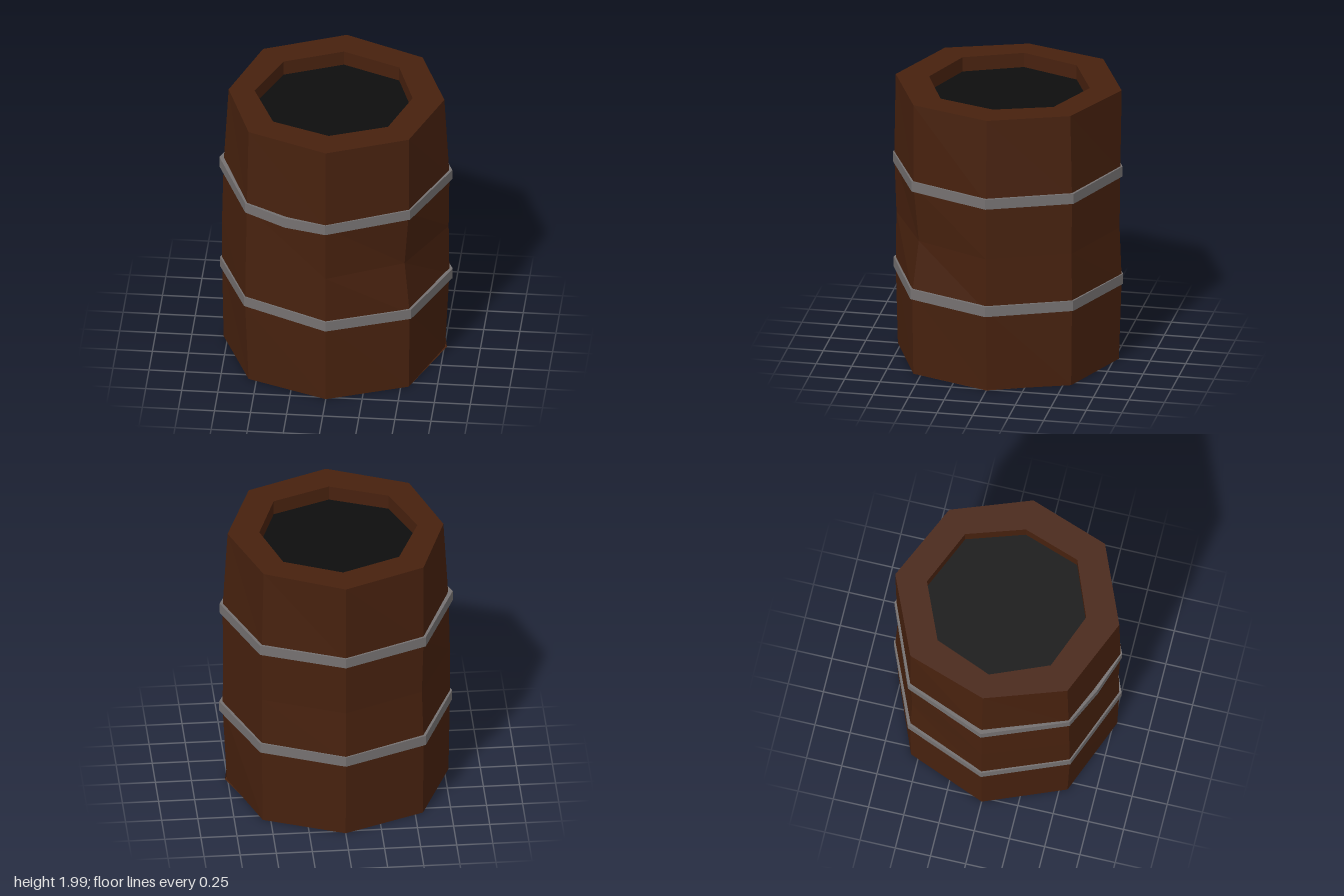
import * as THREE from 'three';

const wood = new THREE.MeshStandardMaterial({ color: 0x47210e, flatShading: true });
wood.name = 'dark wood';
const iron = new THREE.MeshStandardMaterial({ color: 0x757171, flatShading: true });
iron.name = 'iron';
const pitch = new THREE.MeshStandardMaterial({ color: 0x0e0e0e, flatShading: true });
pitch.name = 'black contents';

const SIDES = 8;

// Eight-sided ring: corner 0 is at +x, corner 2 at +z, corner 4 at -x, corner 6 at -z.
const ring = (y, radii) =>
  Array.from({ length: SIDES }, (_, k) => {
    const a = (k / SIDES) * Math.PI * 2;
    const r = Array.isArray(radii) ? radii[k] : radii;
    return [r * Math.cos(a), y, r * Math.sin(a)];
  });

// Joins successive rings with quads; rings going upward on the outside face outward.
function loft(rings, closed = false) {
  const pos = [];
  const count = closed ? rings.length : rings.length - 1;
  for (let i = 0; i < count; i++) {
    const lo = rings[i], hi = rings[(i + 1) % rings.length];
    for (let k = 0; k < lo.length; k++) {
      const n = (k + 1) % lo.length;
      pos.push(...lo[k], ...hi[k], ...hi[n], ...lo[k], ...hi[n], ...lo[n]);
    }
  }
  return toGeometry(pos);
}

// Fan that closes a ring, facing up or down.
function cap(points, up) {
  const pos = [];
  for (let k = 1; k < points.length - 1; k++) {
    const [b, c] = up ? [points[k + 1], points[k]] : [points[k], points[k + 1]];
    pos.push(...points[0], ...b, ...c);
  }
  return toGeometry(pos);
}

function toGeometry(pos) {
  const g = new THREE.BufferGeometry();
  g.setAttribute('position', new THREE.Float32BufferAttribute(pos, 3));
  g.computeVertexNormals();
  return g;
}

function part(name, geometry, material) {
  const mesh = new THREE.Mesh(geometry, material);
  mesh.name = name;
  return mesh;
}

// Iron band through points [corner position, radius, height of its middle].
function hoop(points) {
  const section = [[-0.05, -0.034], [0, -0.037], [0, 0.037], [-0.05, 0.034]];
  const rings = section.map(([dr, dy]) =>
    points.map(([k, r, y]) => {
      const a = (k / SIDES) * Math.PI * 2;
      return [(r + dr) * Math.cos(a), y + dy, (r + dr) * Math.sin(a)];
    }));
  return loft(rings, true);
}

export function createModel() {
  const barrel = new THREE.Group();
  barrel.name = 'barrel';

  // Wooden shell: bottom recess, uneven outside wall, rim and inside wall
  const topInner = [0.53, 0.56, 0.555, 0.565, 0.565, 0.57, 0.575, 0.565];
  const floor = ring(1.89, topInner);
  const underside = ring(0.11, 0.755);
  const shell = [
    underside,
    ring(0.005, 0.768),
    ring(0.005, [0.755, 0.785, 0.775, 0.785, 0.78, 0.785, 0.78, 0.785]),
    ring(0.6, [0.785, 0.795, 0.79, 0.815, 0.79, 0.79, 0.8, 0.795]),
    ring(0.98, [0.78, 0.74, 0.785, 0.81, 0.79, 0.775, 0.785, 0.79]),
    ring(1.4, [0.785, 0.785, 0.8, 0.8, 0.78, 0.79, 0.79, 0.795]),
    ring(1.995, [0.75, 0.785, 0.79, 0.785, 0.745, 0.79, 0.8, 0.775]),
    ring(1.995, topInner),
    floor,
  ];
  barrel.add(part('woodenShell', loft(shell), wood));
  barrel.add(part('undersidePanel', cap(underside, false), wood));
  barrel.add(part('darkContents', cap(floor, true), pitch));

  // Two bent iron hoops
  barrel.add(part('lowerHoop', hoop([
    [0, 0.808, 0.6], [1, 0.81, 0.6], [2, 0.805, 0.605], [3, 0.825, 0.645],
    [4, 0.805, 0.605], [5, 0.81, 0.6], [6, 0.81, 0.6], [7, 0.81, 0.6],
  ]), iron));
  barrel.add(part('upperHoop', hoop([
    [0, 0.805, 1.395], [1, 0.8, 1.395], [2, 0.81, 1.385], [2.5, 0.765, 1.368],
    [3, 0.815, 1.395], [4, 0.81, 1.41], [5, 0.81, 1.4], [6, 0.805, 1.395], [7, 0.815, 1.395],
  ]), iron));

  return barrel;
}
